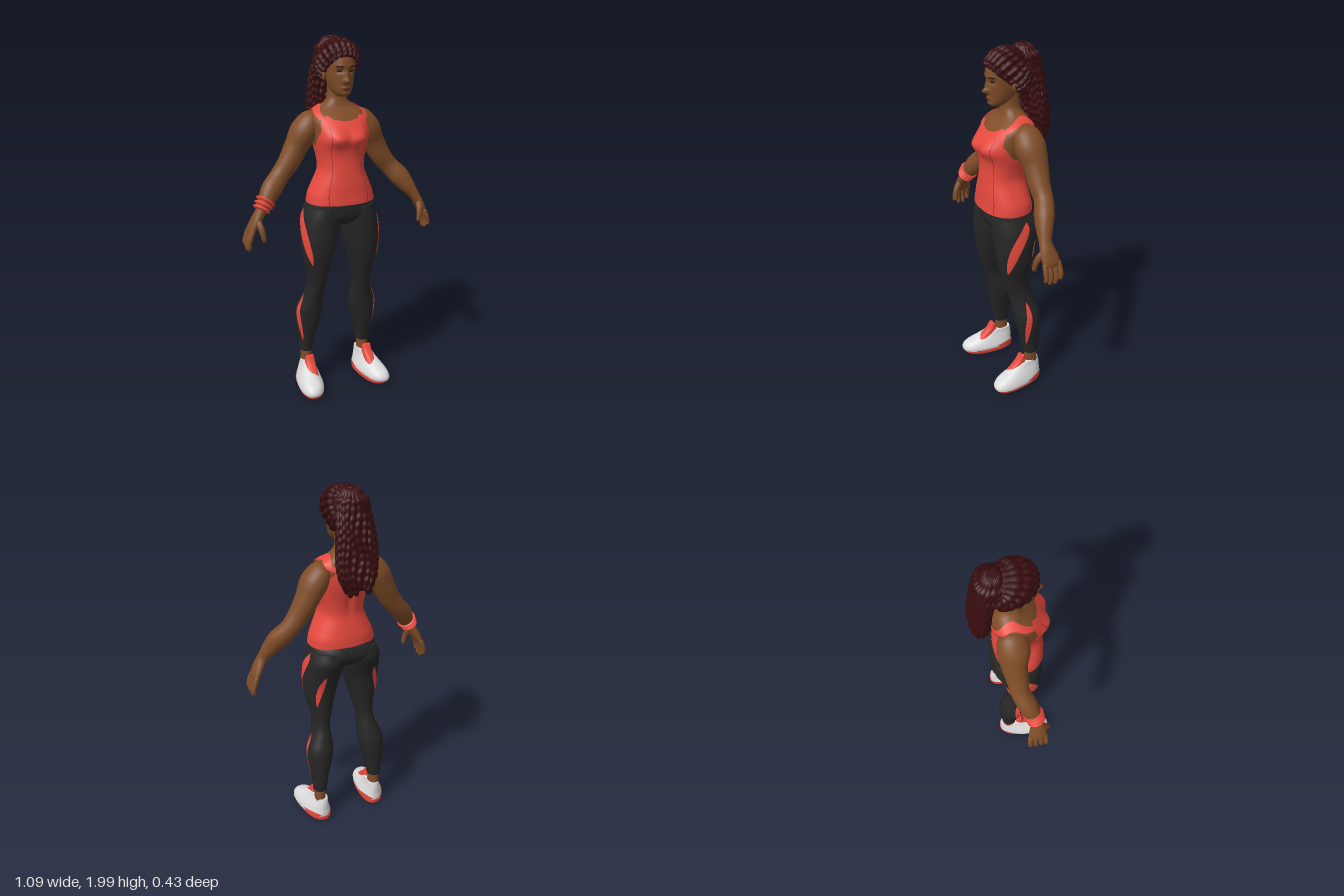
import * as THREE from 'three';

const lerp = THREE.MathUtils.lerp;
const mat = (name, color) => {
  const m = new THREE.MeshStandardMaterial({ color, side: THREE.DoubleSide });
  m.name = name;
  return m;
};

// Grid of points f(i, j); wraps around in i when closed
function grid(f, nu, nv, closed) {
  const cols = closed ? nu : nu + 1, pos = [], idx = [];
  for (let j = 0; j <= nv; j++) for (let i = 0; i < cols; i++) pos.push(...f(i, j));
  for (let j = 0; j < nv; j++) for (let i = 0; i < nu; i++) {
    const a = j * cols + i, b = j * cols + (i + 1) % cols;
    idx.push(a, a + cols, b, b, a + cols, b + cols);
  }
  const g = new THREE.BufferGeometry();
  g.setAttribute('position', new THREE.Float32BufferAttribute(pos, 3));
  g.setIndex(idx);
  g.computeVertexNormals();
  return g;
}

// Smooth body surface from rising rows [y, xMin, xMax, zFront, zBack].
// bumps: [x, y, dz, spreadX, spreadY, side (1 front, -1 back)]
function surface(rows, { exp = 2, shear = 0, bumps = [] } = {}) {
  const slope = (i, k) => {
    const a = rows[Math.max(0, i - 1)], b = rows[Math.min(rows.length - 1, i + 1)];
    return (b[k] - a[k]) / (b[0] - a[0]);
  };
  const val = (y, k) => {
    let i = 0;
    while (i < rows.length - 2 && y > rows[i + 1][0]) i++;
    const h = rows[i + 1][0] - rows[i][0], t = THREE.MathUtils.clamp((y - rows[i][0]) / h, 0, 1);
    const t2 = t * t, t3 = t2 * t;
    return (2 * t3 - 3 * t2 + 1) * rows[i][k] + (t3 - 2 * t2 + t) * h * slope(i, k)
      + (3 * t2 - 2 * t3) * rows[i + 1][k] + (t3 - t2) * h * slope(i + 1, k);
  };
  const pw = c => Math.sign(c) * Math.pow(Math.abs(c), 2 / exp);
  // deg: 0 = +x side, 90 = front
  const at = (deg, y, off = 0, k = 1) => {
    const a = deg * Math.PI / 180, c = Math.cos(a), s = Math.sin(a);
    const x0 = val(y, 1), x1 = val(y, 2), zf = val(y, 3), zb = val(y, 4);
    let x = (x0 + x1) / 2 + k * ((x1 - x0) / 2 + off) * pw(c);
    let z = (zf + zb) / 2 + k * ((zf - zb) / 2 + off) * pw(s);
    for (const [bx, by, dz, sx, sy, side] of bumps) {
      z += k * dz * Math.min(1, Math.max(0, side * s * 2))
        * Math.exp(-(((Math.abs(x) - bx) / sx) ** 2) - ((y - by) / sy) ** 2);
    }
    return [x + shear * z, y, z];
  };
  const y0 = rows[0][0], y1 = rows[rows.length - 1][0];
  // Closed solid with crisp end caps
  const solid = (nu = 40, nv = 40) => grid((i, j) => {
    const y = lerp(y0, y1, THREE.MathUtils.clamp((j - 2) / (nv - 4), 0, 1));
    return at(i / nu * 360, y, 0, j === 0 || j === nv ? 0 : 1);
  }, nu, nv, true);
  return { at, solid };
}

// Thin patch lying on a surface; f(s, t) with s, t in -1..1 gives [deg, y]
const patch = (surf, f, off, nu = 12, nv = 6) => grid((i, j) => {
  const [a, y] = f(i / nu * 2 - 1, j / nv * 2 - 1);
  return surf.at(a, y, off);
}, nu, nv);

// Round-ended limb through [x, y, z, radiusA, radiusB]; knots adds braid swellings
function limb(pts, nu = 16, nv = 40, ref = new THREE.Vector3(0, 0, 1), knots = 0) {
  const path = new THREE.CatmullRomCurve3(pts.map(p => new THREE.Vector3(p[0], p[1], p[2])));
  const rad = new THREE.CatmullRomCurve3(pts.map(p => new THREE.Vector3(p[3], p[4] ?? p[3], 0)));
  return grid((i, j) => {
    const t = j / nv, a = i / nu * Math.PI * 2, d = path.getTangent(t);
    const n1 = d.clone().cross(ref).normalize(), n2 = n1.clone().cross(d), r = rad.getPoint(t);
    const k = Math.sqrt(Math.max(0, 1 - (2 * t - 1) ** 16))
      * (knots ? 0.8 + 0.35 * Math.abs(Math.sin(t * Math.PI * knots)) : 1);
    return path.getPoint(t).addScaledVector(n1, k * r.x * Math.cos(a))
      .addScaledVector(n2, k * r.y * Math.sin(a)).toArray();
  }, nu, nv, true);
}

function mirror(geo) {
  const g = geo.clone().scale(-1, 1, 1), ix = g.index.array;
  for (let i = 0; i < ix.length; i += 3) [ix[i], ix[i + 1]] = [ix[i + 1], ix[i]];
  return g;
}

export function createModel() {
  const root = new THREE.Group();
  const skin = mat('skin', 0x7e4c27), coral = mat('coral', 0xea4a3e), black = mat('leggings', 0x262627);
  const hair = mat('hair', 0x380c0e), white = mat('shoeWhite', 0xdcdcdc), seam = mat('seam', 0x8c2a26);
  const lip = mat('lips', 0x6b3022), dark = mat('eyes', 0x1d1210);
  const add = (name, geo, m) => {
    const mesh = new THREE.Mesh(geo, m);
    mesh.name = name;
    root.add(mesh);
  };
  const pair = (name, geo, m) => {
    add(name + 'Left', geo, m);
    add(name + 'Right', mirror(geo), m);
  };
  const sym = rows => rows.map(([y, w, f, b]) => [y, -w, w, f, b]);

  // Torso and neck
  const torso = surface(sym([[1.13, .18, .168, -.088], [1.17, .174, .165, -.086], [1.22, .153, .163, -.076],
    [1.3, .12, .156, -.06], [1.36, .122, .152, -.066], [1.42, .135, .157, -.08], [1.47, .145, .166, -.094],
    [1.52, .152, .15, -.102], [1.57, .158, .115, -.1], [1.6, .143, .083, -.09], [1.625, .105, .055, -.078],
    [1.65, .066, .045, -.062], [1.68, .051, .038, -.052], [1.75, .05, .04, -.045]]),
  { exp: 2.3, bumps: [[.065, 1.475, .024, .058, .045, 1], [0, 1.45, .015, .02, .12, -1]] });
  add('torso', torso.solid(64, 70), skin);

  // Tank top: neckline and armholes follow a curve around the body
  const edge = [[-90, 1.575], [-65, 1.57], [-50, 1.54], [-30, 1.47], [0, 1.43], [30, 1.5], [46, 1.575], [58, 1.59], [72, 1.57], [90, 1.562]];
  const topEdge = deg => {
    let a = ((deg + 90) % 360 + 360) % 360 - 90;
    if (a > 90) a = 180 - a;
    let i = 0;
    while (i < edge.length - 2 && a > edge[i + 1][0]) i++;
    return lerp(edge[i][1], edge[i + 1][1], THREE.MathUtils.smoothstep(a, edge[i][0], edge[i + 1][0]));
  };
  add('tankTop', grid((i, j) => torso.at(i / 96 * 360, lerp(1.122, topEdge(i / 96 * 360), j / 50), .007), 96, 50, true), coral);
  add('tankHem', grid((i, j) => torso.at(i / 64 * 360, 1.122 + j * .005, .009), 64, 4, true), coral);
  pair('strap', patch(torso, (s, t) => {
    const u = (s + 1) / 2, c = Math.cos(Math.PI * u), h = Math.sin(Math.PI * u);
    return [lerp(54, -60, u) + t * 8 * c, 1.565 + .062 * h + t * .013 * h];
  }, .011, 30, 4), coral);
  pair('tankSeam', patch(torso, (s, t) => [52 + 6 * s * s + t * .7, lerp(1.13, 1.54, (s + 1) / 2)], .0095, 40, 1), seam);

  // Head with modelled face
  const head = surface(sym([[1.685, .024, .105, .05], [1.7, .042, .116, .02], [1.73, .058, .12, -.02], [1.77, .068, .123, -.05],
    [1.81, .073, .125, -.063], [1.86, .075, .127, -.068], [1.905, .066, .11, -.06], [1.935, .044, .075, -.035], [1.948, .015, .04, 0]]),
  { exp: 2.2, bumps: [[0, 1.766, .027, .014, .014, 1], [0, 1.793, .015, .01, .03, 1], [.03, 1.815, -.009, .017, .012, 1],
    [.028, 1.84, .004, .022, .01, 1], [0, 1.728, .009, .022, .01, 1], [0, 1.7, .006, .02, .01, 1]] });
  add('head', head.solid(80, 90), skin);
  pair('eye', patch(head, (s, t) => [66 + s * 11, 1.815 + s * -.002 + t * .0048 * Math.sqrt(1 - s * s)], .002), dark);
  pair('eyebrow', patch(head, (s, t) => [64 + s * 14, 1.84 - s * s * .004 + t * .003], .002), dark);
  add('lips', patch(head, (s, t) => [90 + s * 17, 1.728 + s * s * .002 + t * .008 * (1 - s * s)], .002), lip);
  pair('ear', new THREE.SphereGeometry(1, 16, 12).scale(.011, .028, .018).rotateY(.4).translate(.077, 1.79, .012), skin);

  // Scalp hair and braids swept to the crown
  const hairline = deg => 1.8 + .085 * Math.sin(deg * Math.PI / 180);
  add('scalpHair', grid((i, j) => {
    const p = head.at(i * 6, lerp(hairline(i * 6), 1.948, j / 16), .009);
    return [p[0], p[1] + .008 * j / 16, p[2]];
  }, 60, 16, true), hair);
  const xAxis = new THREE.Vector3(1, 0, 0), centre = new THREE.Vector3(0, 1.83, .02);
  for (let i = -7; i <= 7; i++) {
    const deg = 90 - i / 7 * 115, p0 = new THREE.Vector3(...head.at(deg, hairline(deg), .004)).sub(centre);
    const p1 = new THREE.Vector3(i / 7 * .04, 1.905, -.08).sub(centre), pts = [];
    for (let k = 0; k <= 6; k++) {
      const t = k / 6, len = lerp(p0.length(), p1.length(), t) * (1 + .08 * Math.sin(Math.PI * t));
      const p = p0.clone().lerp(p1, t).setLength(len).add(centre);
      pts.push([p.x, p.y, p.z, lerp(.01, .018, Math.sin(Math.PI * t))]);
    }
    add('scalpBraid', limb(pts, 8, 40, xAxis, 7), hair);
  }

  // Ponytail: core with hanging braids around it
  const tail = surface(sym([[1.48, .06, -.13, -.185], [1.52, .083, -.122, -.195], [1.6, .1, -.112, -.19], [1.7, .1, -.106, -.176],
    [1.8, .088, -.085, -.164], [1.88, .073, -.05, -.153], [1.95, .05, -.033, -.128], [1.985, .022, -.055, -.1]]), { exp: 2.4 });
  add('ponytail', tail.solid(32, 40), hair);
  for (let i = 0; i < 20; i++) {
    const pts = [], low = 1.475 + .03 * Math.sin(i * 2.7);
    for (let k = 0; k <= 10; k++) {
      const p = tail.at(i * 18 + 5 * Math.sin(k * 1.3 + i), lerp(1.984, low, k / 10));
      pts.push([...p, k ? .0155 : .012]);
    }
    add('ponytailBraid', limb(pts, 8, 66, xAxis, 13), hair);
  }

  // Arms with palms, fingers and thumbs
  pair('arm', limb([[.1, 1.58, -.02, .045, .055], [.145, 1.55, -.02, .062, .075], [.182, 1.5, -.02, .072, .083], [.225, 1.42, -.025, .063, .068],
    [.27, 1.34, -.02, .058, .058], [.325, 1.27, -.015, .052, .05], [.375, 1.215, .01, .056, .052], [.42, 1.155, .035, .044, .043],
    [.455, 1.105, .05, .03, .034], [.482, 1.062, .05, .026, .044], [.507, 1.015, .045, .022, .05], [.52, .985, .044, .015, .046]], 28, 80), skin);
  [[.087, .92], [.06, .897], [.03, .893], [.002, .915]].forEach(([z, tip]) =>
    pair('finger', limb([[.506, 1.02, z * .9 + .004, .014], [.524, .975, z, .0135], [.533, .94, z, .0125], [.527, tip, z + .004, .01]], 10, 18), skin));
  pair('thumb', limb([[.478, 1.07, .07, .018], [.47, 1.03, .1, .017], [.462, .99, .112, .014], [.455, .955, .112, .011]], 10, 18), skin);
  const band = [[.415, 1.163, .033], [.428, 1.146, .039], [.441, 1.127, .044], [.455, 1.107, .05]];
  add('wristband', mirror(limb(band.map((p, i) => [...p, .05 - i * .003, .05 - i * .003]), 28, 36, undefined, 3)), coral);

  // Hips and legs
  add('hips', surface(sym([[.985, .03, .06, -.02], [1.0, .1, .115, -.06], [1.04, .195, .15, -.1], [1.1, .192, .158, -.105], [1.16, .17, .155, -.08]]),
    { exp: 2.2, bumps: [[.08, 1.07, -.012, .06, .05, -1]] }).solid(56, 30), black);
  const leg = surface([[.21, .142, .22, .002, -.088], [.3, .13, .224, .022, -.096], [.4, .103, .238, .043, -.1], [.48, .088, .238, .055, -.095],
    [.55, .091, .212, .068, -.075], [.62, .094, .19, .087, -.053], [.7, .075, .193, .11, -.047], [.8, .05, .215, .135, -.054],
    [.9, .022, .225, .148, -.066], [.98, .004, .222, .152, -.092], [1.04, .002, .212, .154, -.113], [1.1, .012, .19, .15, -.1]], { exp: 2.1 });
  pair('legging', leg.solid(44, 80), black);

  // Coral stripes: [top y, bottom y, top angle, bottom angle, half width]
  [['thighStripe', 1.08, .79, -8, 50, 14], ['backStripe', .96, .77, -76, -50, 9], ['calfStripe', .57, .29, 0, 44, 12]]
    .forEach(([name, y0, y1, a0, a1, w]) => pair(name, patch(leg, (s, t) => {
      const u = (s + 1) / 2;
      return [lerp(a0, a1, u) + t * w * Math.pow(Math.sin(Math.PI * u), .6), lerp(y0, y1, u) + t * .008];
    }, .004, 30, 6), coral));
  pair('ankle', surface([[.1, .146, .215, .0, -.085], [.16, .149, .213, -.002, -.083], [.23, .15, .212, -.004, -.082]]).solid(28, 12), skin);

  // Running shoes
  const shape = { exp: 2.4, shear: .12 };
  pair('shoeSole', surface([[0, .128, .242, .175, -.09], [.012, .118, .254, .2, -.103], [.036, .116, .258, .211, -.106]], shape).solid(44, 12), coral);
  const upper = surface([[.032, .117, .26, .213, -.101], [.05, .116, .259, .213, -.102], [.075, .124, .25, .193, -.1],
    [.1, .134, .238, .14, -.1], [.125, .142, .226, .088, -.098], [.15, .146, .218, .045, -.092]], shape);
  pair('shoeUpper', upper.solid(44, 30), white);
  [-42, 222].forEach(a => pair('heelAccent', patch(upper, (s, t) => [a + s * 34, .046 + t * .014 * (1 - s * s)], .003), coral));
  pair('shoeTongue', surface([[.1, .148, .212, .125, 0], [.13, .151, .21, .088, 0], [.16, .152, .209, .054, 0], [.19, .156, .206, .036, .01]], { exp: 2.6, shear: .05 }).solid(24, 16), coral);
  return root;
}
